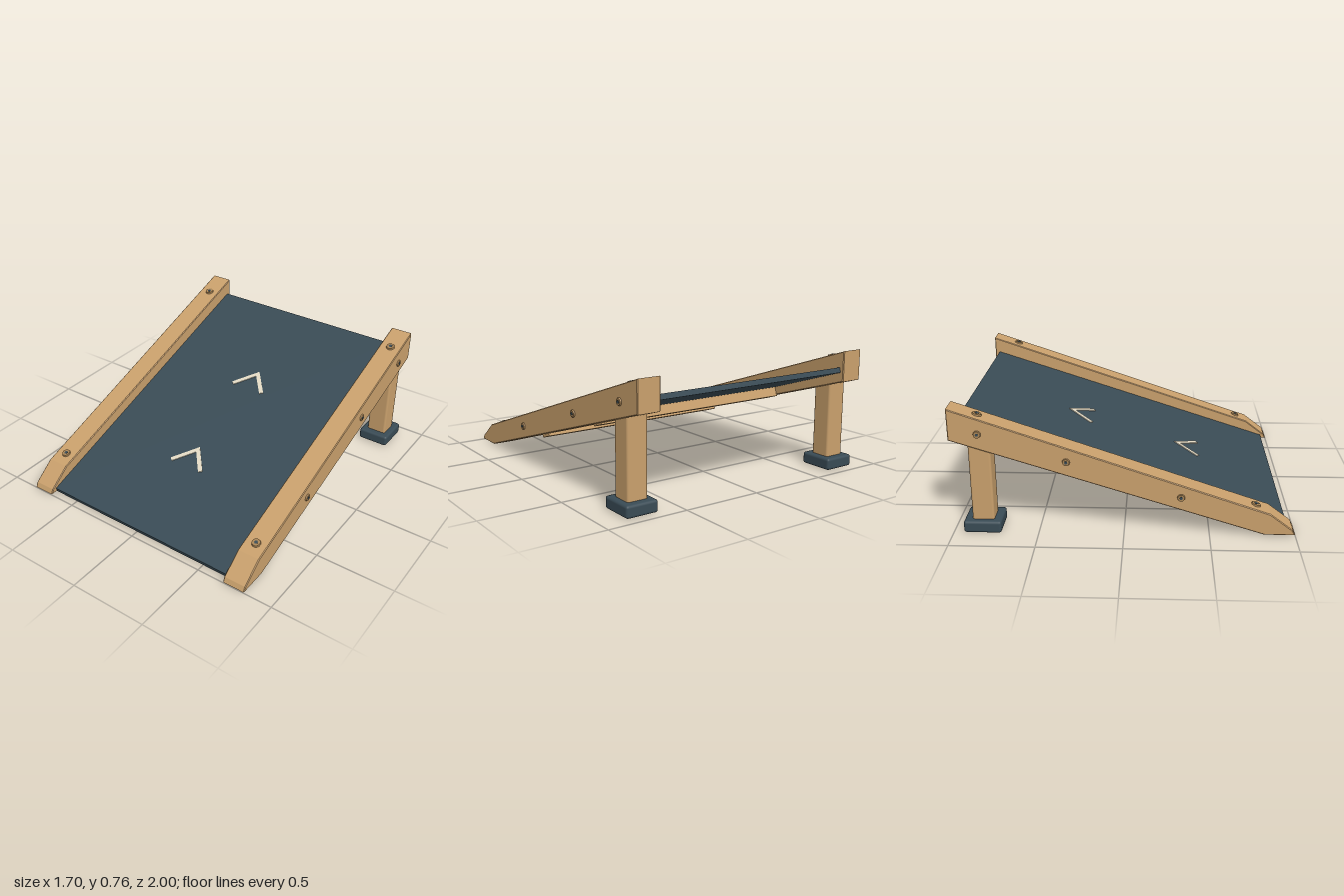
import * as THREE from 'three';
import { RoundedBoxGeometry } from 'three/addons/geometries/RoundedBoxGeometry.js';

const wood = new THREE.MeshStandardMaterial({ name: 'wood', color: 0xc9a06c });
const slate = new THREE.MeshStandardMaterial({ name: 'slate', color: 0x394b55 });
const cream = new THREE.MeshStandardMaterial({ name: 'cream', color: 0xe2d9c3 });
const bronze = new THREE.MeshStandardMaterial({ name: 'bronze', color: 0xa98556 });

const SLOPE = Math.atan(0.326);
const RAIL_X = 0.747;

function add(parent, name, geometry, material, x = 0, y = 0, z = 0) {
  const mesh = new THREE.Mesh(geometry, material);
  mesh.name = name;
  mesh.position.set(x, y, z);
  parent.add(mesh);
  return mesh;
}

// Side rail: a sloping plank outline (z, y) extruded across x
function railGeometry() {
  const outline = [[0.82, 0.004], [1, 0.004], [0.985, 0.035], [0.85, 0.138], [-1, 0.762], [-1, 0.573]];
  const shape = new THREE.Shape(outline.map(([z, y]) => new THREE.Vector2(z, y)));
  const bevel = 0.005;
  const geometry = new THREE.ExtrudeGeometry(shape, {
    depth: 0.145 - 2 * bevel, bevelEnabled: true, bevelSegments: 1,
    bevelSize: bevel, bevelThickness: bevel, bevelOffset: -bevel,
  });
  geometry.translate(0, 0, -0.0725 + bevel);
  return geometry.rotateY(-Math.PI / 2);
}

// Flat arrowhead pointing up the ramp
function chevronGeometry() {
  const points = [[0, 0], [0.127, -0.155], [0.105, -0.172], [0, -0.043], [-0.105, -0.172], [-0.127, -0.155]];
  const shape = new THREE.Shape(points.map(([x, y]) => new THREE.Vector2(x, y)));
  const geometry = new THREE.ExtrudeGeometry(shape, { depth: 0.005, bevelEnabled: false });
  return geometry.rotateX(-Math.PI / 2);
}

// Round bolt head with a smaller raised cap, axis along y
function addBolt(parent, name, radius, x, y, z) {
  const bolt = new THREE.Group();
  bolt.name = name;
  bolt.position.set(x, y, z);
  add(bolt, 'boltHead', new THREE.CylinderGeometry(radius * 0.85, radius, 0.014, 16), bronze, 0, 0.002);
  add(bolt, 'boltCap', new THREE.CylinderGeometry(radius * 0.4, radius * 0.4, 0.006, 6), slate, 0, 0.008);
  parent.add(bolt);
  return bolt;
}

export function createModel() {
  const model = new THREE.Group();
  model.name = 'ramp';

  // Sloping deck; its local origin lies on the top surface at z = 0
  const deck = new THREE.Group();
  deck.name = 'deck';
  deck.position.set(0, 0.343, 0);
  deck.rotation.x = SLOPE;
  model.add(deck);
  const toLocal = 1 / Math.cos(SLOPE);
  add(deck, 'deckPanel', new THREE.BoxGeometry(1.36, 0.032, 1.93 * toLocal), slate, 0, -0.016, -0.005);
  for (const z of [-0.395, 0.3]) add(deck, 'chevron', chevronGeometry(), cream, 0, 0, z * toLocal);
  // Cross beams under the panel
  for (const z of [-0.33, 0.33]) {
    add(deck, 'crossBeam', new RoundedBoxGeometry(1.37, 0.07, 0.1, 1, 0.006), wood, 0, -0.058, z * toLocal - 0.02);
  }

  for (const side of [1, -1]) {
    const x = side * RAIL_X;
    add(model, 'sideRail', railGeometry(), wood, x, 0, 0);

    // Rear support
    add(model, 'rearLeg', new RoundedBoxGeometry(0.13, 0.5, 0.13, 2, 0.014), wood, x, 0.31, -0.827);
    add(model, 'rubberFoot', new RoundedBoxGeometry(0.205, 0.074, 0.222, 2, 0.016), slate, x, 0.037, -0.829);

    // Bolts on top of the rail
    for (const z of [-0.84, 0.77]) {
      const y = 0.138 + (0.85 - z) * 0.3373;
      addBolt(model, 'topBolt', 0.03, x, y, z).rotation.x = SLOPE * 0.85;
    }
    // Bolts on the outer face
    for (const [z, y] of [[-0.83, 0.613], [-0.33, 0.45], [0.33, 0.237]]) {
      addBolt(model, 'sideBolt', 0.024, side * 0.8195, y, z).rotation.z = -side * Math.PI / 2;
    }
  }
  return model;
}
